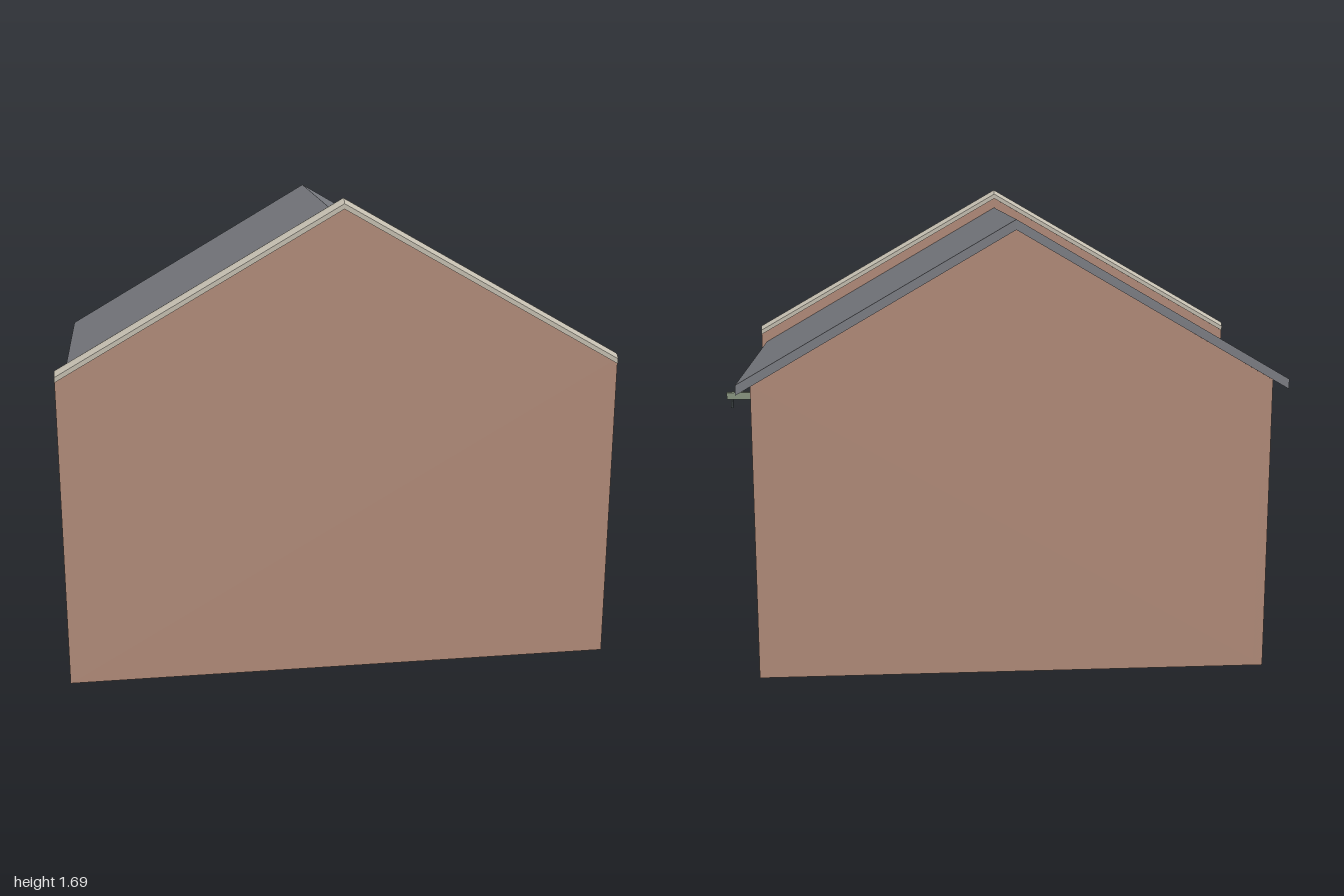
import * as THREE from 'three';
import { toCreasedNormals } from 'three/addons/utils/BufferGeometryUtils.js';

const mat = (name, color) => {
  const m = new THREE.MeshStandardMaterial({ color });
  m.name = name;
  return m;
};

export function createModel() {
  const brick = mat('brick', 0xb08a78);
  const slate = mat('slate', 0x7a7c82);
  const stone = mat('stone', 0xc2bcae);
  const green = mat('green paint', 0x88937f);
  const iron = mat('iron', 0x434b4d);
  const glass = mat('glass', 0x465056);

  const model = new THREE.Group();
  model.name = 'house';
  const RIDGE_X = -0.025, HALF = 0.91, EAVES = 1.057, WALL = 0.035, RECESS = 0.014;

  const add = (parent, name, geometry, material, x = 0, y = 0, z = 0) => {
    const mesh = new THREE.Mesh(geometry, material);
    mesh.name = name;
    mesh.position.set(x, y, z);
    parent.add(mesh);
    return mesh;
  };

  // box given by its left, right, bottom, top, back and front
  const block = (parent, name, material, x0, x1, y0, y1, z0, z1) =>
    add(parent, name, new THREE.BoxGeometry(x1 - x0, y1 - y0, z1 - z0), material,
      (x0 + x1) / 2, (y0 + y1) / 2, (z0 + z1) / 2);

  // pitch a geometry down to both sides of the ridge
  const pitch = (geometry, ridge, slope, crease) => {
    const p = geometry.attributes.position;
    for (let i = 0; i < p.count; i++) {
      p.setY(i, p.getY(i) + ridge - slope * Math.abs(p.getX(i) - RIDGE_X));
    }
    return toCreasedNormals(geometry, crease);
  };

  const gable = (half, eaves, ridge, depth) => {
    const s = new THREE.Shape([[-half, 0], [half, 0], [half, eaves], [0, ridge], [-half, eaves]]
      .map(([x, y]) => new THREE.Vector2(x, y)));
    return new THREE.ExtrudeGeometry(s, { depth, bevelEnabled: false });
  };

  // gable walls
  add(model, 'frontGable', gable(0.9745, 1.12, 1.68, 0.04), brick, RIDGE_X, 0, 0.53);
  add(model, 'backGable', gable(HALF, EAVES, 1.585, WALL), brick, RIDGE_X, 0, -0.53);

  // slate roof, both slopes
  const roof = new THREE.BoxGeometry(1.91, 0.035, 1.105, 2, 1, 1);
  roof.translate(RIDGE_X, -0.0175, -0.0225);
  add(model, 'roof', pitch(roof, 1.62, 0.58, 0.3), slate);

  // rounded stone coping over the front gable
  const profile = new THREE.Shape();
  profile.moveTo(-0.575, -0.022);
  profile.lineTo(-0.52, -0.022);
  profile.lineTo(-0.52, -0.004);
  profile.quadraticCurveTo(-0.53, 0.012, -0.5475, 0.012);
  profile.quadraticCurveTo(-0.565, 0.012, -0.575, -0.004);
  const coping = new THREE.ExtrudeGeometry(profile,
    { depth: 1.95, steps: 2, bevelEnabled: false, curveSegments: 4 });
  coping.rotateY(Math.PI / 2);
  coping.translate(-1, 0, 0);
  add(model, 'coping', pitch(coping, 1.68, 0.574, 0.6), stone);

  // opening outline: rectangle, or with a segmental arch on top
  const outline = (Type, x0, x1, y0, y1, rise = 0) => {
    const s = new Type();
    s.moveTo(x0, y0);
    s.lineTo(x1, y0);
    s.lineTo(x1, y1);
    if (rise) {
      const w = (x1 - x0) / 2, r = (w * w + rise * rise) / (2 * rise), a = Math.asin(w / r);
      s.absarc((x0 + x1) / 2, y1 + rise - r, r, Math.PI / 2 - a, Math.PI / 2 + a, false);
    } else {
      s.lineTo(x0, y1);
    }
    s.closePath();
    return s;
  };

  // side wall: local x runs along the wall, local z points outward
  const sideWall = (name, x, turn, openings) => {
    const side = new THREE.Group();
    side.name = name;
    side.position.x = x;
    side.rotation.y = turn;
    model.add(side);
    const s = outline(THREE.Shape, -0.53, 0.53, 0, EAVES);
    openings.forEach((o) => s.holes.push(outline(THREE.Path, ...o)));
    const g = new THREE.ExtrudeGeometry(s, { depth: WALL, bevelEnabled: false, curveSegments: 16 });
    add(side, name + 'Brick', g, brick, 0, 0, -WALL);
    return side;
  };

  const panel = (side, name, opening) => {
    const depth = WALL - RECESS;
    const g = new THREE.ExtrudeGeometry(outline(THREE.Shape, ...opening),
      { depth, bevelEnabled: false, curveSegments: 16 });
    add(side, name, g, green, 0, 0, -WALL);
  };
  const strap = (side, x0, x1, y) =>
    block(side, 'hingeStrap', iron, x0, x1, y - 0.004, y + 0.004, -RECESS, -RECESS + 0.007);
  const seam = (side, x, y0, y1) =>
    block(side, 'doorSeam', iron, x - 0.002, x + 0.002, y0, y1, -RECESS, -RECESS + 0.004);
  const ledge = (side, name, x0, x1, y0, y1) =>
    block(side, name, stone, x0, x1, y0, y1, -0.01, 0.012);

  const door = [-0.425, -0.3, 0.235, 0.54];
  const addDoor = (side) => {
    panel(side, 'door', door);
    ledge(side, 'doorLintel', -0.436, -0.286, 0.54, 0.561);
    [0.28, 0.495].forEach((y) => strap(side, -0.42, -0.325, y));
  };

  const addWindow = (side, [x0, x1, y0, y1]) => {
    const cx = (x0 + x1) / 2, cy = (y0 + y1) / 2, f = 0.008;
    block(side, 'windowGlass', glass, x0, x1, y0, y1, -WALL, -RECESS);
    // dark frame around the panes
    const z1 = -RECESS + 0.006;
    block(side, 'windowFrame', iron, x0, x0 + f, y0, y1, -RECESS, z1);
    block(side, 'windowFrame', iron, x1 - f, x1, y0, y1, -RECESS, z1);
    block(side, 'windowFrame', iron, x0 + f, x1 - f, y0, y0 + f, -RECESS, z1);
    block(side, 'windowFrame', iron, x0 + f, x1 - f, y1 - f, y1, -RECESS, z1);
    // pale glazing bars
    block(side, 'glazingBar', stone, cx - 0.004, cx + 0.004, y0 + f, y1 - f, -RECESS, z1);
    block(side, 'glazingBar', stone, x0 + f, x1 - f, cy - 0.004, cy + 0.004, -RECESS, z1 - 0.001);
    ledge(side, 'windowLintel', x0 - 0.015, x1 + 0.015, y1, y1 + 0.023);
    ledge(side, 'windowSill', x0 - 0.014, x1 + 0.014, y0 - 0.013, y0);
  };

  const windows = [
    [-0.42, -0.305, 0.8, 0.966],
    [-0.13, -0.015, 0.8, 0.966],
    [-0.135, -0.006, 0.41, 0.564],
  ];
  const hatch = [0.17, 0.327, 0.746, 0.929];
  const gate = [0.05, 0.445, 0.235, 0.626, 0.05];

  // loading side with windows, hatch and arched gate
  const loading = sideWall('loadingSide', RIDGE_X + HALF, Math.PI / 2,
    [door, hatch, gate, ...windows]);
  addDoor(loading);
  windows.forEach((w) => addWindow(loading, w));

  panel(loading, 'hatchShutters', hatch);
  ledge(loading, 'hatchSill', 0.16, 0.337, 0.735, 0.746);
  seam(loading, 0.2485, 0.746, 0.929);
  [0.78, 0.89].forEach((y) => {
    strap(loading, 0.172, 0.236, y);
    strap(loading, 0.263, 0.325, y);
  });

  panel(loading, 'archedGate', gate);
  seam(loading, 0.2475, 0.235, 0.63);
  [0.29, 0.435, 0.58].forEach((y) => {
    strap(loading, 0.055, 0.177, y);
    strap(loading, 0.32, 0.442, y);
  });

  // hoist beam with hook
  block(loading, 'hoistBeam', green, 0.238, 0.26, 0.962, 0.987, -0.02, 0.115);
  block(loading, 'hoistHook', iron, 0.245, 0.253, 0.93, 0.962, 0.094, 0.102);

  // plain side with a single door
  addDoor(sideWall('plainSide', RIDGE_X - HALF, -Math.PI / 2, [door]));

  return model;
}
